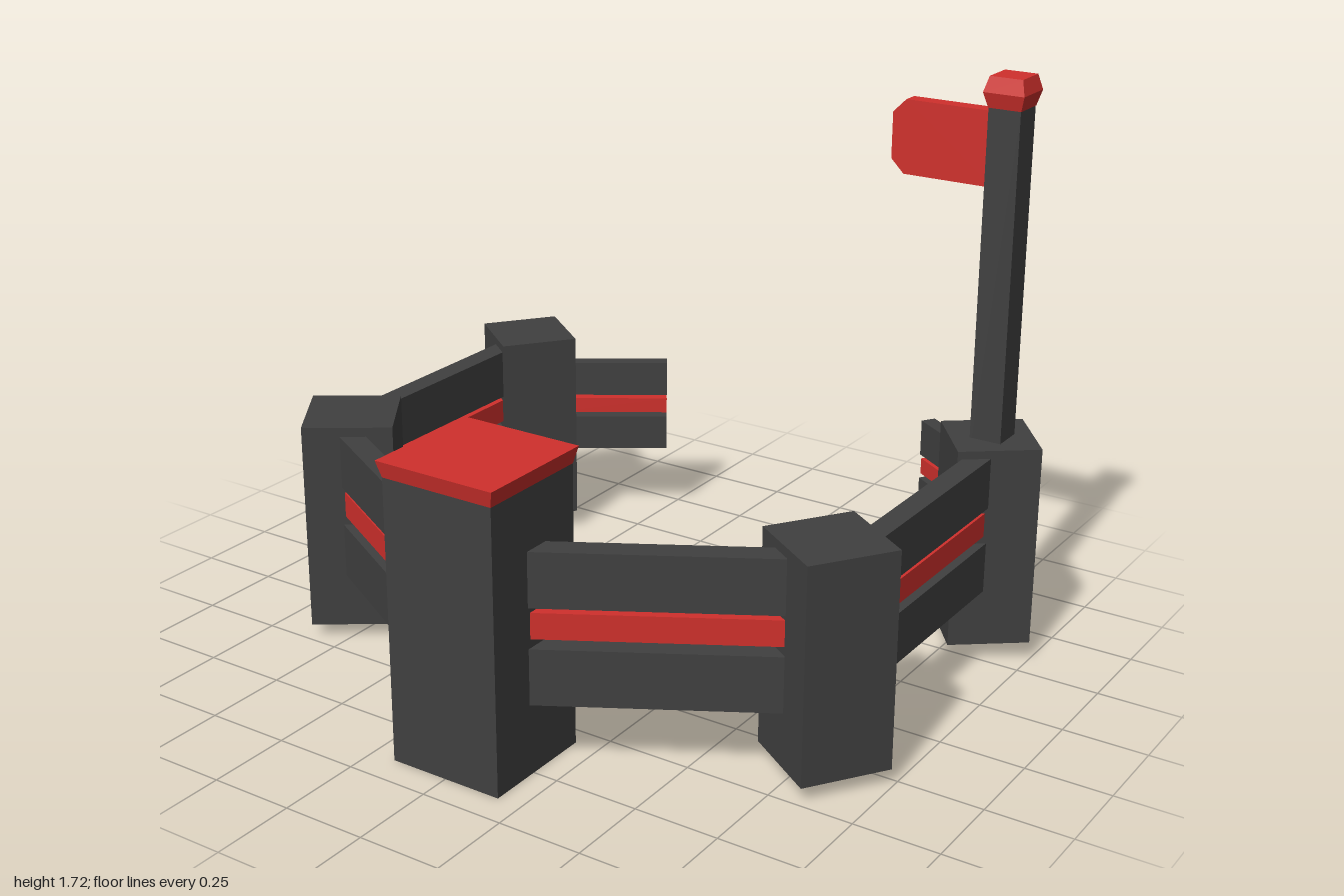
import * as THREE from 'three';

const dark = new THREE.MeshStandardMaterial({ color: 0x404040, flatShading: true });
const red = new THREE.MeshStandardMaterial({ color: 0xd0302c, flatShading: true });

function addMesh(parent, name, geometry, material, x, y, z, turn = 0) {
  const mesh = new THREE.Mesh(geometry, material);
  mesh.name = name;
  mesh.position.set(x, y, z);
  mesh.rotation.y = turn;
  parent.add(mesh);
  return mesh;
}

// Square post turned about its own axis, from y0 to y1
function addPost(parent, name, size, y0, y1, x, z, turn = 0) {
  addMesh(parent, name, new THREE.BoxGeometry(size, y1 - y0, size), dark, x, (y0 + y1) / 2, z, turn);
}

// Square frustum with flat sides aligned to the axes
function frustum(bottom, top, height) {
  const g = new THREE.CylinderGeometry(top / Math.SQRT2, bottom / Math.SQRT2, height, 4);
  return g.rotateY(Math.PI / 4);
}

// Rail between two ground points: two dark planks with a red strip between
function addRail(parent, name, [xa, za], [xb, zb], thick, lower, strip, upper) {
  const rail = new THREE.Group();
  rail.name = name;
  const dx = xb - xa, dz = zb - za;
  const length = Math.hypot(dx, dz);
  rail.position.set((xa + xb) / 2, 0, (za + zb) / 2);
  rail.rotation.y = Math.atan2(-dz, dx);
  const bars = [
    ['lowerPlank', lower, thick, dark],
    ['redStrip', strip, thick * 0.8, red],
    ['upperPlank', upper, thick, dark],
  ];
  for (const [label, [y0, y1], depth, material] of bars) {
    addMesh(rail, label, new THREE.BoxGeometry(length, y1 - y0, depth), material, 0, (y0 + y1) / 2, 0);
  }
  parent.add(rail);
}

export function createModel() {
  const model = new THREE.Group();
  model.name = 'fenceRing';

  // Tall front post with flared red cap
  addPost(model, 'frontPost', 0.35, 0, 0.825, 0, 0.733);
  addMesh(model, 'frontPostCap', frustum(0.35, 0.374, 0.048), red, 0, 0.849, 0.733);

  // Mirrored posts and rails
  for (const s of [1, -1]) {
    const side = s > 0 ? 'left' : 'right';
    addPost(model, side + 'SidePost', 0.265, 0.045, 0.678, s * 0.808, 0.307, s * -0.6);
    addPost(model, side + 'BackPost', 0.243, 0.057, 0.667, s * 0.829, -0.6, s * 0.66);

    addRail(model, side + 'FrontRail', [s * 0.14, 0.743], [s * 0.732, 0.4], 0.07,
      [0.208, 0.372], [0.398, 0.474], [0.49, 0.65]);
    addRail(model, side + 'SideRail', [s * 0.85, 0.202], [s * 0.85, -0.493], 0.067,
      [0.228, 0.38], [0.402, 0.474], [0.49, 0.643]);
    addRail(model, side + 'BackRail', [s * 0.8, -0.69], [s * 0.484, -0.9], 0.046,
      [0.238, 0.352], [0.366, 0.416], [0.43, 0.543]);
  }

  // Flag pole with a faceted cap
  const px = 0.834, pz = -0.597;
  addPost(model, 'flagPole', 0.096, 0.6, 1.64, px, pz);
  addMesh(model, 'poleCapLower', frustum(0.098, 0.122, 0.044), red, px, 1.656, pz);
  addMesh(model, 'poleCapUpper', frustum(0.122, 0.098, 0.044), red, px, 1.7, pz);

  // Flag with clipped outer corners
  const x0 = 0.485, x1 = 0.8, y0 = 1.405, y1 = 1.62, c = 0.04;
  const outline = new THREE.Shape([
    [x1, y0], [x1, y1], [x0 + c, y1], [x0, y1 - c], [x0, y0 + c], [x0 + c, y0],
  ].map(([x, y]) => new THREE.Vector2(x, y)));
  const flag = new THREE.ExtrudeGeometry(outline, { depth: 0.048, bevelEnabled: false });
  addMesh(model, 'flag', flag, red, 0, 0, pz - 0.024);

  return model;
}
